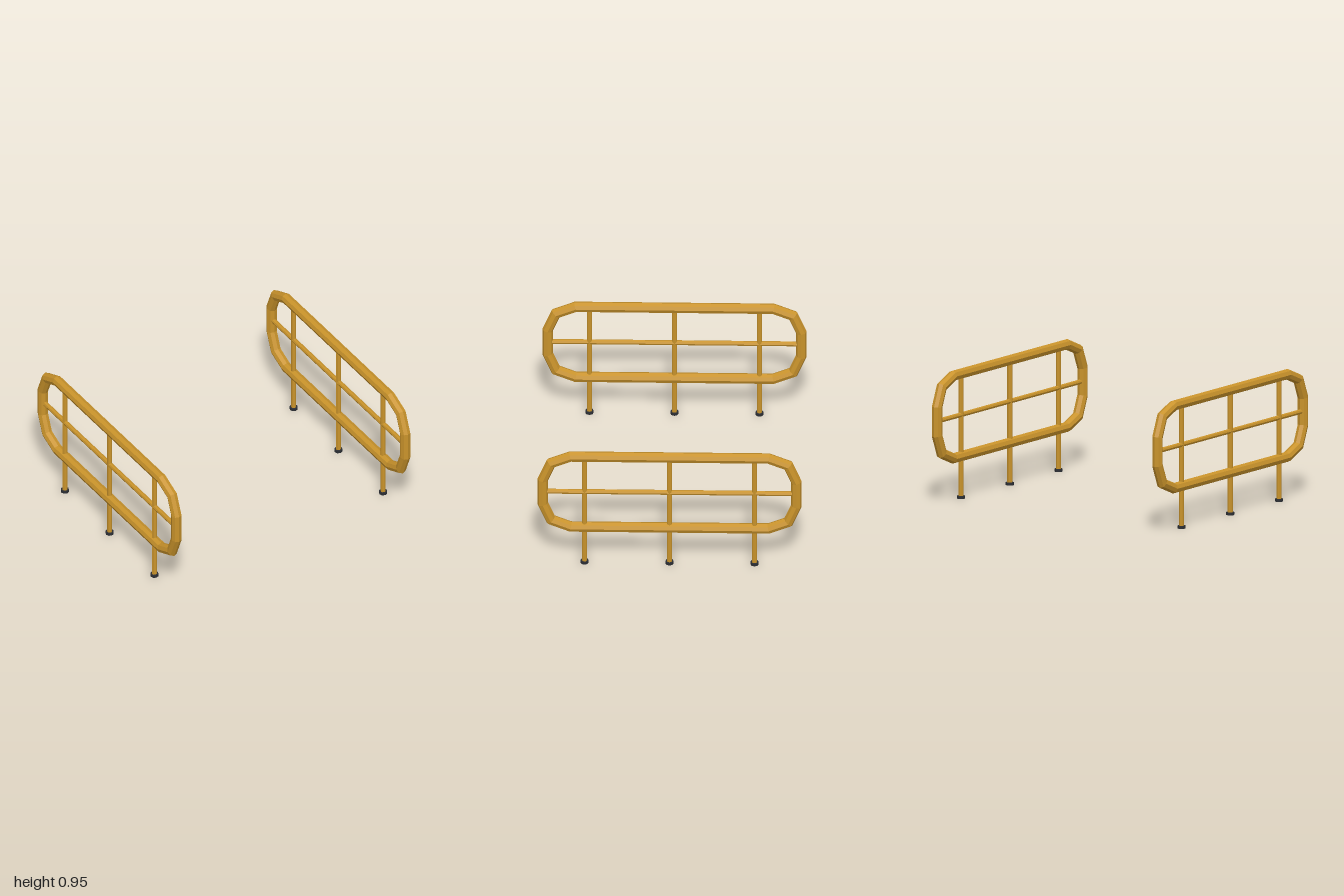
import * as THREE from 'three';

const SIDES = 8;

// Closed loop of [z, y] points swept with a mitred octagonal section
function sweepLoop(path, radius) {
  const n = path.length, positions = [], index = [];
  path.forEach((p, i) => {
    const a = path[(i + n - 1) % n], b = path[(i + 1) % n];
    const d1 = new THREE.Vector2().subVectors(p, a).normalize();
    const d2 = new THREE.Vector2().subVectors(b, p).normalize();
    const t = d1.clone().add(d2).normalize();
    const reach = radius / t.dot(d1); // stretch along the mitre
    for (let k = 0; k < SIDES; k++) {
      const ang = (k / SIDES) * Math.PI * 2;
      const out = Math.cos(ang) * reach;
      positions.push(Math.sin(ang) * radius, p.y - t.x * out, p.x + t.y * out);
    }
  });
  for (let i = 0; i < n; i++) {
    for (let k = 0; k < SIDES; k++) {
      const i2 = (i + 1) % n, k2 = (k + 1) % SIDES;
      const a = i * SIDES + k, b = i2 * SIDES + k, c = i2 * SIDES + k2, d = i * SIDES + k2;
      index.push(a, c, b, a, d, c);
    }
  }
  const g = new THREE.BufferGeometry();
  g.setAttribute('position', new THREE.Float32BufferAttribute(positions, 3));
  g.setIndex(index);
  const flat = g.toNonIndexed();
  flat.computeVertexNormals();
  return flat;
}

// Rounded rectangle centreline, two straight segments per corner
function railPath() {
  const pts = [], r = 0.199, cz = 0.708, cy = 0.102, midY = 0.609;
  for (let q = 0; q < 4; q++) {
    const sz = q === 0 || q === 3 ? 1 : -1, sy = q < 2 ? 1 : -1;
    for (let s = 0; s <= 2; s++) {
      const ang = (q + s / 2) * Math.PI / 2;
      pts.push(new THREE.Vector2(sz * cz + r * Math.cos(ang), midY + sy * cy + r * Math.sin(ang)));
    }
  }
  return pts;
}

export function createModel() {
  const model = new THREE.Group();
  model.name = 'railings';
  const paint = new THREE.MeshStandardMaterial({ color: 0xc9932b, flatShading: true });
  paint.name = 'ochre paint';
  const rubber = new THREE.MeshStandardMaterial({ color: 0x2b2e34, flatShading: true });
  rubber.name = 'dark rubber';

  const add = (parent, name, geometry, material, y = 0, z = 0) => {
    const mesh = new THREE.Mesh(geometry, material);
    mesh.name = name;
    mesh.position.set(0, y, z);
    parent.add(mesh);
  };

  const frameGeo = sweepLoop(railPath(), 0.038);
  const postGeo = new THREE.CylinderGeometry(0.019, 0.019, 0.89, SIDES);
  const barGeo = new THREE.CylinderGeometry(0.018, 0.018, 1.8, SIDES).rotateX(Math.PI / 2);
  const footGeo = new THREE.CylinderGeometry(0.03, 0.03, 0.02, SIDES);

  for (const side of [1, -1]) {
    const rail = new THREE.Group();
    rail.name = side > 0 ? 'leftRailing' : 'rightRailing';
    rail.position.x = side * 0.962;
    add(rail, 'frame', frameGeo, paint);
    add(rail, 'middleBar', barGeo, paint, 0.61);
    // Posts with feet
    for (const z of [-0.608, 0, 0.608]) {
      add(rail, 'post', postGeo, paint, 0.46, z);
      add(rail, 'foot', footGeo, rubber, 0.01, z);
    }
    model.add(rail);
  }
  return model;
}
